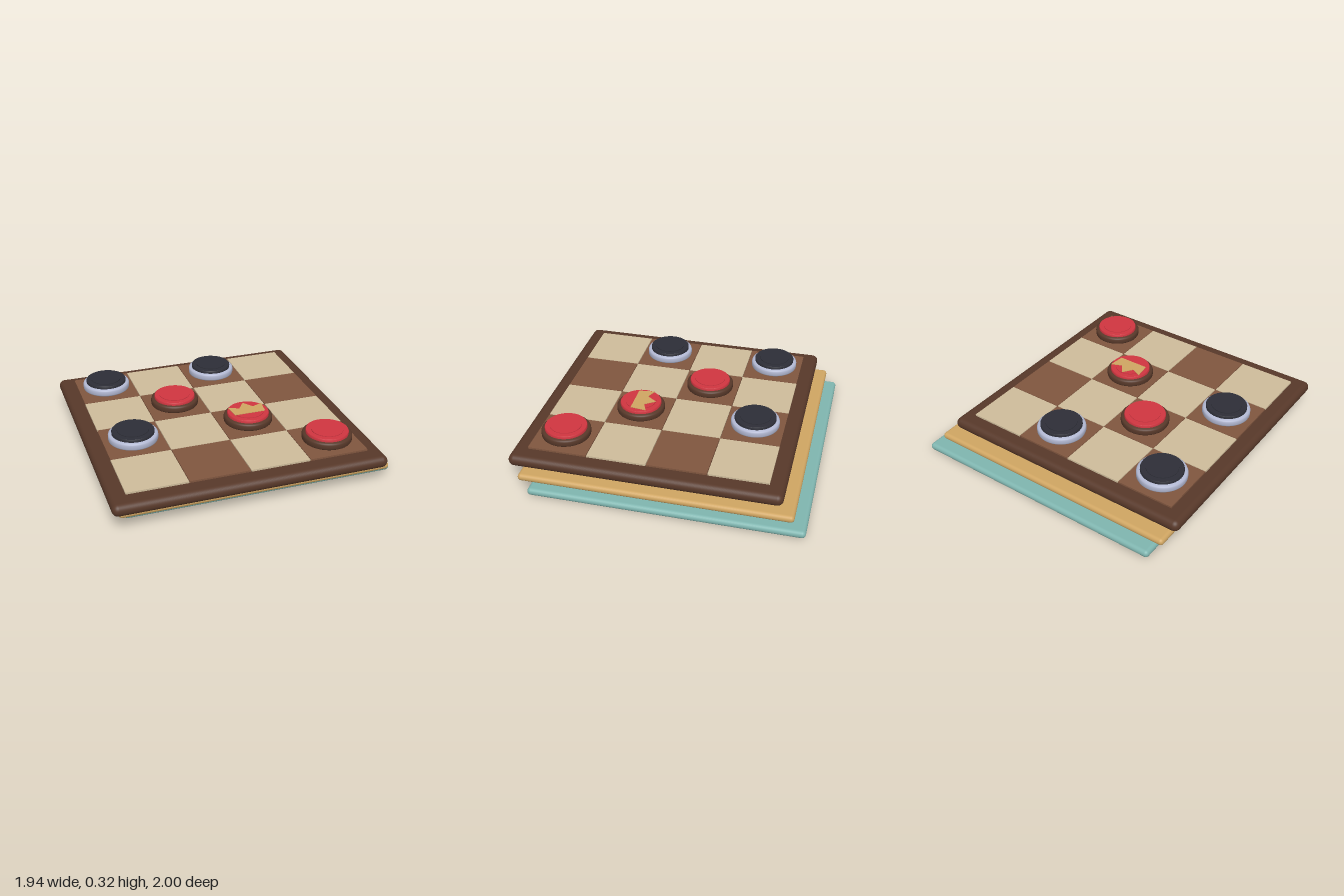
import * as THREE from 'three';
import { RoundedBoxGeometry } from 'three/addons/geometries/RoundedBoxGeometry.js';
import { toCreasedNormals } from 'three/addons/utils/BufferGeometryUtils.js';

const mat = (name, color) => {
  const m = new THREE.MeshStandardMaterial({ color });
  m.name = name;
  return m;
};

export function createModel() {
  const teal = mat('teal', 0x7fb5af);
  const gold = mat('gold', 0xcfa562);
  const darkWood = mat('dark wood', 0x573829);
  const midWood = mat('brown tile', 0x80563f);
  const cream = mat('cream tile', 0xcdbb9a);
  const red = mat('red', 0xd03540);
  const black = mat('charcoal', 0x2d2e37);
  const silver = mat('silver', 0xb2b8d2);

  const model = new THREE.Group();
  model.name = 'checkersBoard';

  const add = (parent, name, geometry, material, x, y, z) => {
    const mesh = new THREE.Mesh(geometry, material);
    mesh.name = name;
    mesh.position.set(x, y, z);
    parent.add(mesh);
    return mesh;
  };

  // Three stacked slabs, each shifted diagonally from the next
  const slab = (name, material, x, z, y0, y1) => {
    const h = y1 - y0;
    add(model, name, new RoundedBoxGeometry(1.835, h, 1.835, 5, h * 0.49), material, x, (y0 + y1) / 2, z);
  };
  slab('bottomSlab', teal, 0.052, -0.082, 0, 0.052);
  slab('middleSlab', gold, 0, 0, 0.066, 0.116);
  slab('boardFrame', darkWood, -0.052, 0.082, 0.132, 0.215);

  // Four by four checkered tiles, dark in the back left corner
  const pitch = 0.4065;
  const cellX = (col) => -0.053 + (col - 1.5) * pitch;
  const cellZ = (row) => 0.078 + (row - 1.5) * pitch;
  const tileGeometry = new THREE.BoxGeometry(0.402, 0.012, 0.402);
  for (let row = 0; row < 4; row++) {
    for (let col = 0; col < 4; col++) {
      const dark = (row + col) % 2 === 0;
      add(model, dark ? 'darkTile' : 'lightTile', tileGeometry, dark ? midWood : cream,
        cellX(col), 0.229, cellZ(row));
    }
  }

  // Game piece: bevelled base ring, coloured disc, slightly raised centre
  const lathe = (points) => toCreasedNormals(
    new THREE.LatheGeometry(points.map(([r, y]) => new THREE.Vector2(r, y)), 48), 0.7);
  const baseGeometry = lathe([
    [0, 0], [0.158, 0], [0.164, 0.004], [0.167, 0.011],
    [0.167, 0.037], [0.164, 0.045], [0.157, 0.05], [0, 0.05],
  ]);
  const discGeometry = lathe([
    [0.143, 0.046], [0.143, 0.065], [0.14, 0.07], [0, 0.07],
  ]);
  const centreGeometry = new THREE.CylinderGeometry(0.107, 0.107, 0.012, 48);

  const addPiece = (name, col, row, baseMaterial, discMaterial) => {
    const piece = new THREE.Group();
    piece.name = name;
    piece.position.set(cellX(col), 0.245, cellZ(row));
    add(piece, 'pieceBase', baseGeometry, baseMaterial, 0, 0, 0);
    add(piece, 'pieceDisc', discGeometry, discMaterial, 0, 0, 0);
    add(piece, 'pieceCentre', centreGeometry, discMaterial, 0, 0.069, 0);
    model.add(piece);
    return piece;
  };
  for (const [col, row] of [[0, 0], [2, 0], [0, 2]]) addPiece('blackPiece', col, row, silver, black);
  for (const [col, row] of [[1, 1], [3, 3]]) addPiece('redPiece', col, row, darkWood, red);
  const king = addPiece('redKing', 2, 2, darkWood, red);

  // Flat crown lying on the king, points towards the back
  const crown = new THREE.Shape([
    [-0.108, -0.043], [0.108, -0.043], [0.122, 0.068], [0.05, 0.037],
    [0, 0.108], [-0.05, 0.037], [-0.122, 0.068],
  ].map(([x, y]) => new THREE.Vector2(x, y)));
  const crownGeometry = new THREE.ExtrudeGeometry(crown, { depth: 0.004, bevelEnabled: false });
  crownGeometry.rotateX(-Math.PI / 2);
  add(king, 'crown', crownGeometry, gold, 0, 0.075, 0);

  return model;
}
